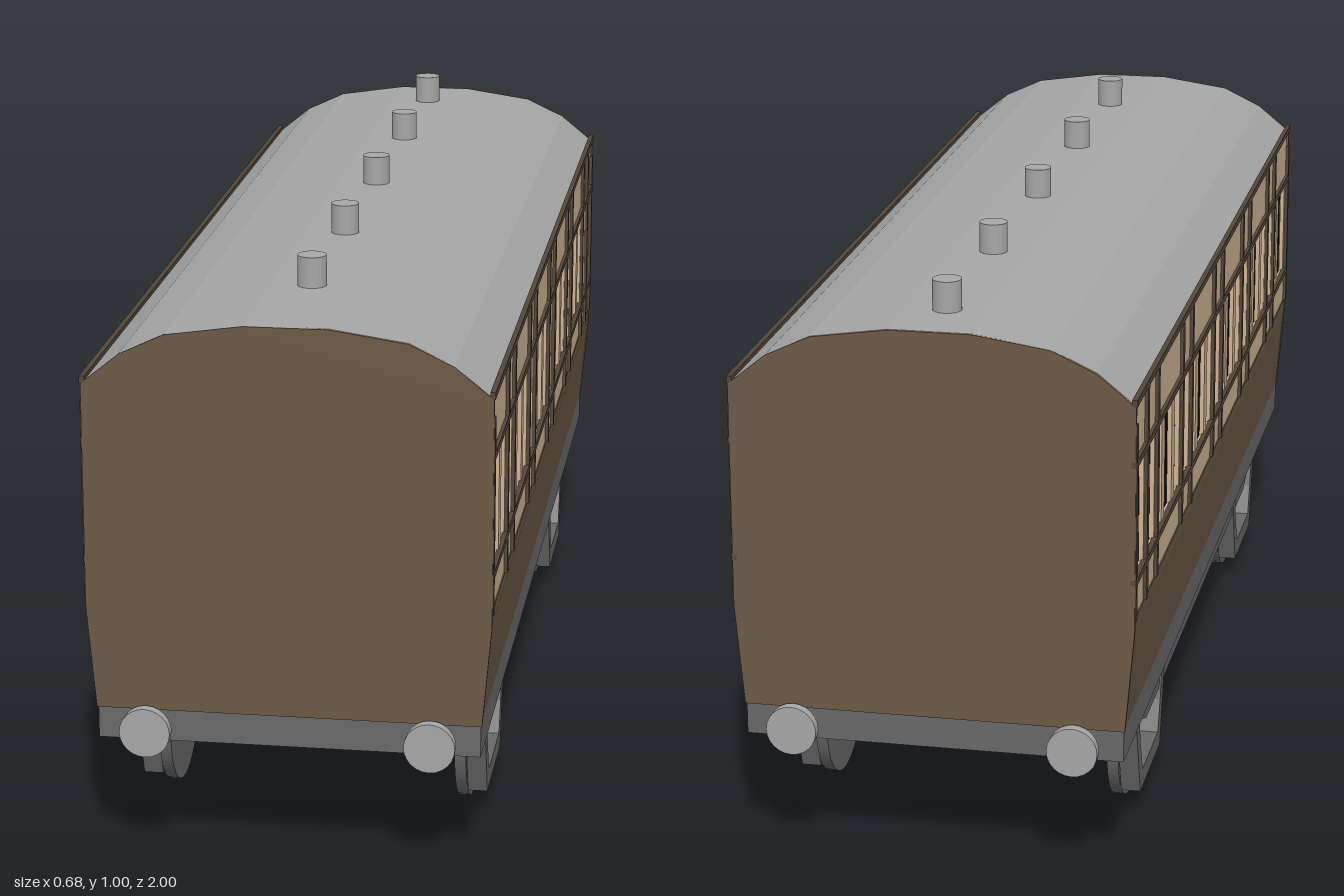
import * as THREE from 'three';

const mat = (name, color, side = THREE.FrontSide) => {
  const m = new THREE.MeshStandardMaterial({ color, side });
  m.name = name;
  return m;
};

export function createModel() {
  const brown = mat('brown panel', 0x6b5946);
  const cream = mat('cream panel', 0xcfb392);
  const trimBrown = mat('dark brown beading', 0x54463a);
  const roofGrey = mat('light grey', 0xa6a6a6);
  const frameGrey = mat('dark grey', 0x686868);
  const black = mat('black glass', 0x0a0a0a, THREE.DoubleSide);

  const model = new THREE.Group();
  model.name = 'railwayCarriage';

  const add = (name, geo, material, x = 0, y = 0, z = 0) => {
    const mesh = new THREE.Mesh(geo, material);
    mesh.name = name;
    mesh.position.set(x, y, z);
    model.add(mesh);
    return mesh;
  };
  // Box given by its limits on each axis
  const block = (name, m, x0, x1, y0, y1, z0, z1) =>
    add(name, new THREE.BoxGeometry(Math.abs(x1 - x0), y1 - y0, z1 - z0), m,
      (x0 + x1) / 2, (y0 + y1) / 2, (z0 + z1) / 2);
  const shapeOf = (pts) => new THREE.Shape(pts.map(([x, y]) => new THREE.Vector2(x, y)));
  // Cross-section in x, y drawn out along z
  const alongZ = (name, m, pts, z0, z1) =>
    add(name, new THREE.ExtrudeGeometry(shapeOf(pts), { depth: z1 - z0, bevelEnabled: false }), m, 0, 0, z0);
  // Side outline in z, y given a thickness across x
  const acrossX = (name, m, shape, x0, x1, z = 0) => {
    const geo = new THREE.ExtrudeGeometry(shape, { depth: x1 - x0, bevelEnabled: false });
    return add(name, geo.rotateY(Math.PI / 2), m, x0, 0, z);
  };
  const mirrorPts = (pts) => pts.map(([x, y]) => [-x, y]).reverse();

  const END = 0.976, IN = 0.968, WALL = 0.336;

  // End walls, with the whole body outline
  const half = [[0.325, 0.275], [0.34, 0.45], [0.34, 0.84], [0.275, 0.893], [0.2, 0.928], [0.07, 0.947]];
  const outline = [...half, ...mirrorPts(half)];
  alongZ('frontEndWall', brown, outline, IN, END);
  alongZ('backEndWall', brown, outline, -END, -IN);

  // Roof shell and its lamp vents
  const arc = half.slice(2);
  const outer = [...arc, ...mirrorPts(arc)];
  const inner = outer.map(([x, y]) => [x * 0.97, y - 0.008]).reverse();
  alongZ('roof', roofGrey, [...outer, ...inner], -IN - 0.006, IN + 0.006);
  for (const z of [0.7, 0.325, -0.07, -0.47, -0.84]) {
    add('roofVent', new THREE.CylinderGeometry(0.025, 0.025, 0.06, 16), roofGrey, 0, 0.97, z);
  }

  // Chassis and floor
  block('chassis', frameGrey, -0.323, 0.323, 0.22, 0.275, -0.973, 0.973);

  const doors = [0.695, 0.3225, -0.0525, -0.43, -0.807];
  const posts = doors.flatMap((z) => [z + 0.054, z - 0.054]);
  const pillars = [0.834, 0.566, 0.461, 0.192, 0.086, -0.183, -0.289, -0.563, -0.67];

  for (const s of [1, -1]) {
    const side = s > 0 ? 'left' : 'right';
    const wall = (name, m, y0, y1, z0, z1) =>
      block(side + name, m, s * (WALL - 0.008), s * WALL, y0, y1, z0, z1);
    const bead = (name, y0, y1, z0, z1) =>
      block(side + name, trimBrown, s * (WALL - 0.003), s * 0.342, y0, y1, z0, z1);

    // Lower body panel, leaning in towards the floor
    const lower = [[0.323, 0.275], [0.338, 0.45], [0.338, 0.47], [0.328, 0.47], [0.328, 0.45], [0.313, 0.275]];
    alongZ(side + 'LowerPanel', brown, s > 0 ? lower : mirrorPts(lower), -IN, IN);

    // Cream bands and window pillars
    wall('WaistBand', cream, 0.47, 0.54, -IN, IN);
    wall('TopBand', cream, 0.74, 0.842, -IN, IN);
    for (const z of pillars) wall('WindowPillar', cream, 0.54, 0.74, z - 0.016, z + 0.016);
    for (const z of posts) wall('DoorPillar', cream, 0.54, 0.74, z - 0.011, z + 0.011);
    for (const e of [1, -1]) wall('CornerPillar', cream, 0.54, 0.74, e * 0.956 - 0.012, e * 0.956 + 0.012);

    // Raised beading
    for (const y of [0.537, 0.742, 0.847]) bead('Rail', y - 0.006, y + 0.006, -0.976, 0.976);
    for (const z of posts) bead('DoorBead', 0.47, 0.847, z - 0.008, z + 0.008);
    for (const z of [0.967, -0.967]) bead('CornerBead', 0.47, 0.81, z - 0.007, z + 0.007);

    // Truss rod with sloping ends and short struts
    const rod = shapeOf([[-0.82, 0.225], [-0.62, 0.15], [0.62, 0.15], [0.82, 0.225],
      [0.76, 0.225], [0.6, 0.18], [-0.6, 0.18], [-0.76, 0.225]]);
    const rx = s > 0 ? 0.285 : -0.303;
    acrossX(side + 'TrussRod', frameGrey, rod, rx, rx + 0.018);
    for (const z of [0.3, 0.035, -0.25]) {
      block(side + 'TrussStrut', frameGrey, rx, rx + 0.018, 0.17, 0.225, z - 0.009, z + 0.009);
    }
    for (const e of [1, -1]) {
      const strut = shapeOf([[e * 0.465, 0.17], [e * 0.44, 0.225], [e * 0.42, 0.225], [e * 0.445, 0.17]]);
      acrossX(side + 'SlantedStrut', frameGrey, strut, rx, rx + 0.018);
    }

    // Wheels and open axle guards
    for (const z of [0.595, -0.59]) {
      const wheel = add(side + 'Wheel', new THREE.CylinderGeometry(0.137, 0.137, 0.02, 32), frameGrey, s * 0.261, 0.137, z);
      wheel.rotation.z = Math.PI / 2;
      const guard = shapeOf([[-0.165, 0.225], [-0.135, 0.13], [-0.105, 0.042], [0.105, 0.042], [0.135, 0.13], [0.165, 0.225]]);
      guard.holes.push(new THREE.Path([[-0.125, 0.2], [0.125, 0.2], [0.105, 0.13], [0.082, 0.075], [-0.082, 0.075], [-0.105, 0.13]]
        .map(([x, y]) => new THREE.Vector2(x, y))));
      acrossX(side + 'AxleGuard', frameGrey, guard, s > 0 ? 0.272 : -0.306, s > 0 ? 0.306 : -0.272, z);
    }

    // Buffers at both ends
    for (const e of [1, -1]) {
      const head = add(side + 'BufferHead', new THREE.CylinderGeometry(0.043, 0.043, 0.018, 24), roofGrey, s * 0.24, 0.241, e * 0.991);
      const stem = add(side + 'BufferStem', new THREE.CylinderGeometry(0.036, 0.036, 0.04, 24), roofGrey, s * 0.24, 0.241, e * 0.967);
      head.rotation.x = stem.rotation.x = Math.PI / 2;
    }
  }

  // Dark glazing behind the right-hand windows
  block('rightGlazing', black, -0.327, -0.323, 0.53, 0.75, -0.945, 0.945);

  // Axles
  for (const z of [0.595, -0.59]) {
    const axle = add('axle', new THREE.CylinderGeometry(0.015, 0.015, 0.424, 12), frameGrey, 0, 0.139, z);
    axle.rotation.z = Math.PI / 2;
  }

  return model;
}
